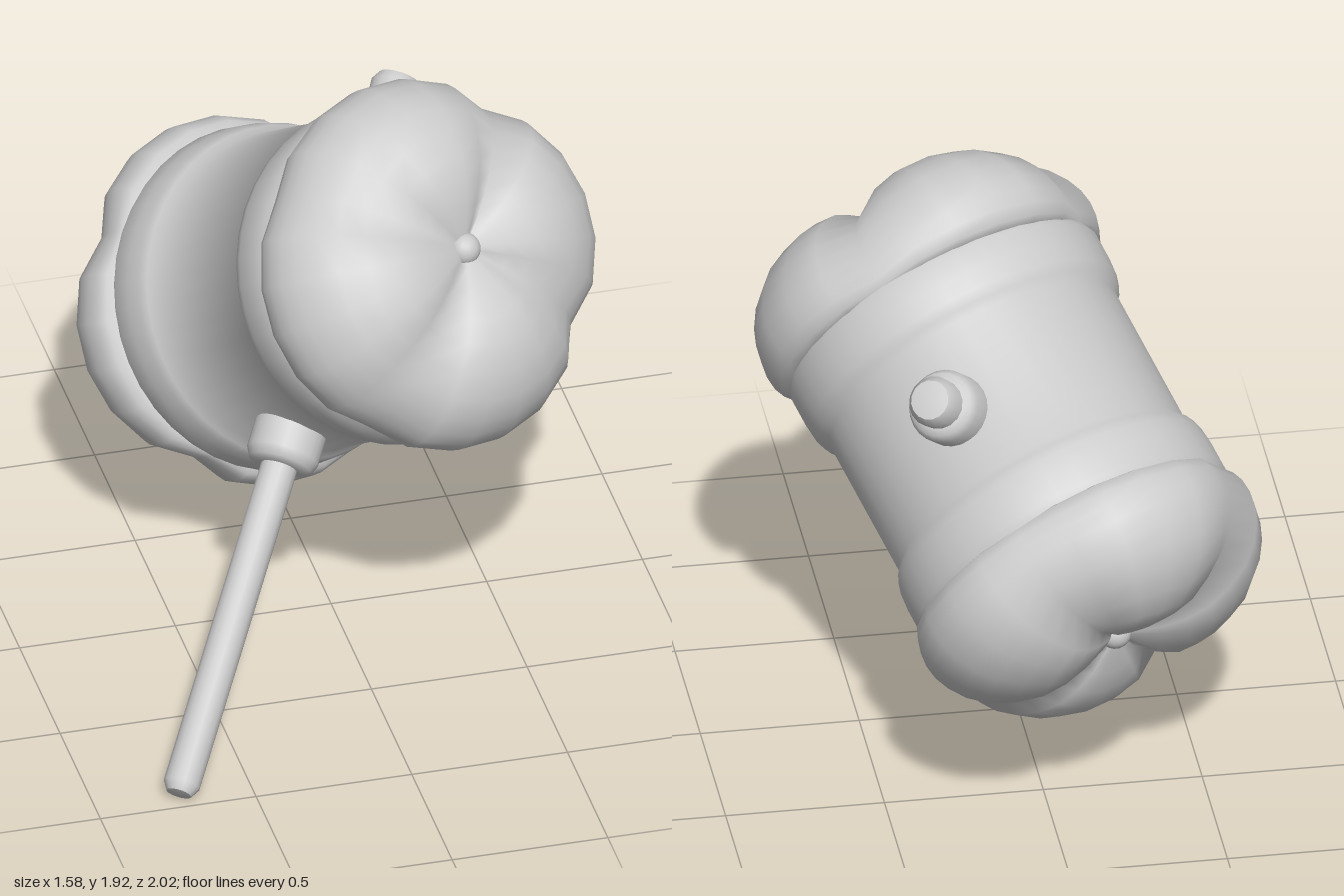
import * as THREE from 'three';
import { toCreasedNormals } from 'three/addons/utils/BufferGeometryUtils.js';

const material = new THREE.MeshStandardMaterial({ color: 0xcccccc });
const points = (list) => list.map(([r, y]) => new THREE.Vector2(r, y));
const TUFT = 0.035; // the tufts sit slightly above the middle of each face

function mesh(name, geometry) {
  const m = new THREE.Mesh(geometry, material);
  m.name = name;
  return m;
}

// Turned part about the y axis, profile listed from bottom to top
function turned(name, profile, sides, crease = 0.8) {
  return mesh(name, toCreasedNormals(new THREE.LatheGeometry(points(profile), sides), crease));
}

// Cushion of four puffed lobes, blended between a lobe and a crease profile (radius, height)
function cushionGeometry() {
  const lobe = new THREE.SplineCurve(points([
    [0.5, 0.445], [0.565, 0.46], [0.588, 0.55], [0.56, 0.655], [0.467, 0.768], [0.3, 0.838], [0.14, 0.815], [0, 0.75]]));
  const crease = new THREE.SplineCurve(points([
    [0.5, 0.445], [0.53, 0.455], [0.537, 0.52], [0.51, 0.61], [0.43, 0.7], [0.28, 0.76], [0.13, 0.77], [0, 0.75]]));
  const rows = 14, sides = 24, position = [], index = [];
  for (let i = 0; i <= rows; i++) {
    const a = lobe.getPoint(i / rows), b = crease.getPoint(i / rows);
    for (let j = 0; j < sides; j++) {
      const angle = (j / sides) * Math.PI * 2;
      const puff = Math.pow(Math.abs(Math.sin(2 * angle)), 0.55);
      const p = b.clone().lerp(a, puff);
      position.push(p.x * Math.cos(angle), p.x * Math.sin(angle) + TUFT * (i / rows) ** 2, p.y);
      if (i === rows) continue;
      const k = i * sides + j, n = i * sides + (j + 1) % sides;
      index.push(k, n, n + sides);
      if (i < rows - 1) index.push(k, n + sides, k + sides);
    }
  }
  const g = new THREE.BufferGeometry();
  g.setAttribute('position', new THREE.Float32BufferAttribute(position, 3));
  g.setIndex(index);
  g.computeVertexNormals();
  return g;
}

export function createModel() {
  const model = new THREE.Group();
  model.name = 'toyMallet';

  // Barrel along local z, with a raised band near each end
  const half = [[0.505, 0.24], [0.525, 0.265], [0.535, 0.3], [0.54, 0.36], [0.54, 0.43], [0.525, 0.465], [0, 0.465]];
  const mirrored = half.map(([r, y]) => [r, -y]).reverse();
  const barrel = turned('barrel', [...mirrored, ...half], 40);
  barrel.rotation.x = Math.PI / 2;
  model.add(barrel);

  // Tufted cushion and button on both faces
  const cushion = cushionGeometry();
  for (const [name, turn] of [['front', 0], ['back', Math.PI]]) {
    const end = new THREE.Group();
    end.name = name + 'Face';
    end.rotation.y = turn;
    const button = mesh('button', new THREE.SphereGeometry(0.052, 20, 14));
    button.position.set(0, TUFT, 0.745);
    end.add(mesh('cushion', cushion), button);
    model.add(end);
  }

  // Handle below, collars on both sides and the stub of the handle on top
  model.add(
    turned('handle', [[0, -1.735], [0.04, -1.73], [0.058, -1.7], [0.058, -0.45], [0, -0.45]], 16),
    turned('lowerCollar', [[0, -0.62], [0.075, -0.625], [0.1, -0.615], [0.115, -0.585], [0.115, -0.45], [0, -0.45]], 24),
    turned('upperCollar', [[0, 0.45], [0.115, 0.45], [0.115, 0.575], [0.1, 0.605], [0.075, 0.615], [0, 0.61]], 24),
    turned('handleStub', [[0, 0.5], [0.072, 0.5], [0.08, 0.67], [0.062, 0.7], [0, 0.71]], 16));

  // Lean the mallet so that it rests on the tip of its handle
  const up = new THREE.Vector3(0.459, 0.61, -0.648).normalize();
  const side = new THREE.Vector3().crossVectors(up, new THREE.Vector3(0.345, 0.552, 0.759)).normalize();
  const forward = new THREE.Vector3().crossVectors(side, up);
  model.quaternion.setFromRotationMatrix(new THREE.Matrix4().makeBasis(side, up, forward));
  model.position.set(0.053, 1.08, -0.15);

  const root = new THREE.Group();
  root.name = 'mallet';
  root.add(model);
  return root;
}
